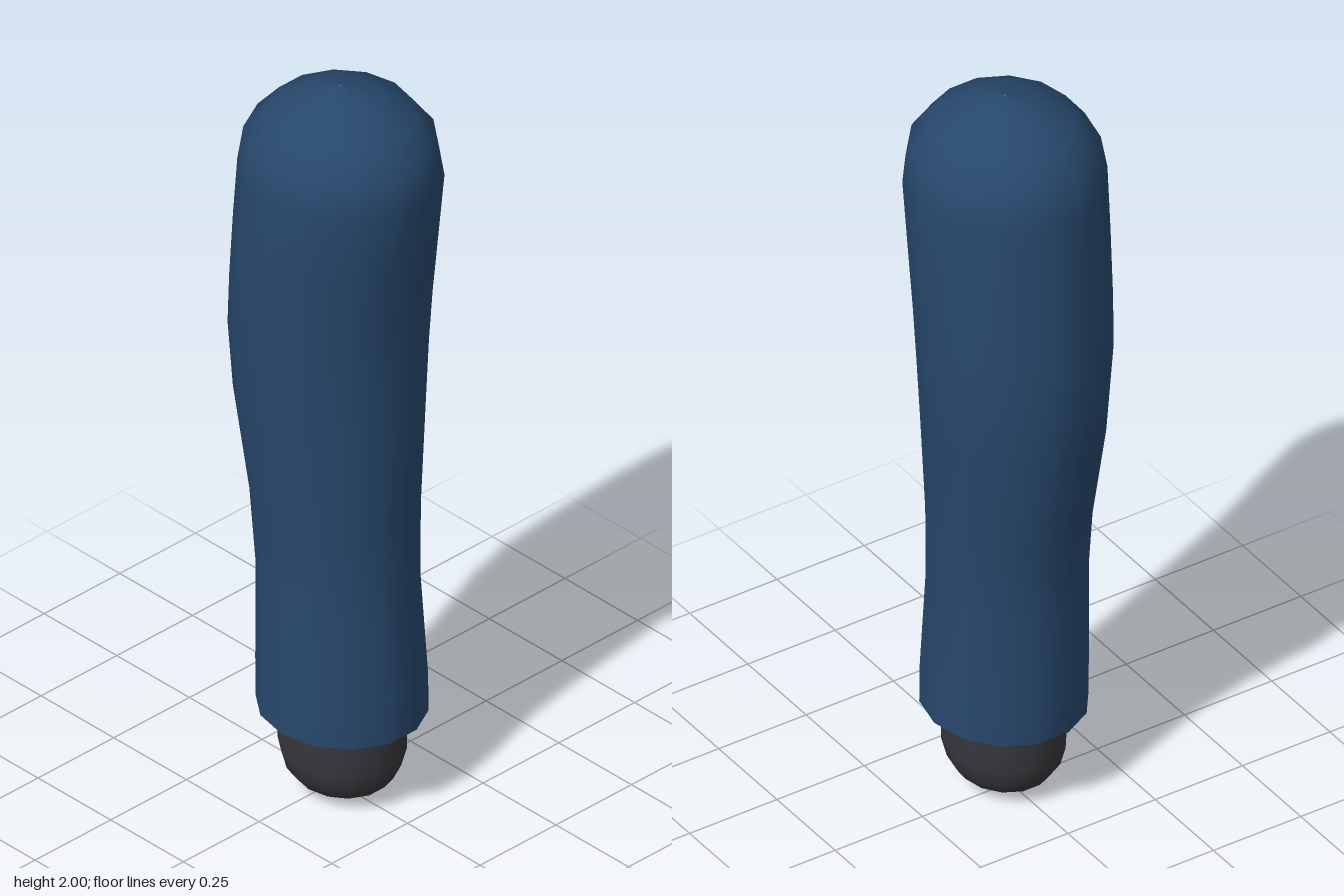
import * as THREE from 'three';

const SIDES = 14;

// Lofts oval rings [y, half width, back z, front z] into a smooth skin, lowest ring first.
function loft(rings, material, name) {
  const flat = Math.cos(Math.PI / SIDES); // front and back are flat facets
  const pos = [], index = [];
  for (const [y, rx, z0, z1] of rings) {
    for (let i = 0; i < SIDES; i++) {
      const a = (i / SIDES) * Math.PI * 2;
      pos.push(Math.cos(a) * rx, y, (z0 + z1) / 2 + (Math.sin(a) * (z1 - z0)) / 2 / flat);
    }
  }
  for (let r = 0; r < rings.length - 1; r++) {
    for (let i = 0; i < SIDES; i++) {
      const a = r * SIDES + i, b = r * SIDES + ((i + 1) % SIDES);
      index.push(a, a + SIDES, b, b, a + SIDES, b + SIDES);
    }
  }
  const geometry = new THREE.BufferGeometry();
  geometry.setAttribute('position', new THREE.Float32BufferAttribute(pos, 3));
  geometry.setIndex(index);
  geometry.computeVertexNormals();
  const mesh = new THREE.Mesh(geometry, material);
  mesh.name = name;
  return mesh;
}

export function createModel() {
  const blue = new THREE.MeshStandardMaterial({ color: 0x27486c });
  blue.name = 'navy blue';
  const black = new THREE.MeshStandardMaterial({ color: 0x38373c });
  black.name = 'charcoal';

  const model = new THREE.Group();
  model.name = 'handle';

  // Curved grip with a rounded top
  model.add(loft([
    [0.24, 0.2, -0.185, 0.235],
    [0.35, 0.2, -0.185, 0.232],
    [0.62, 0.195, -0.185, 0.207],
    [0.82, 0.2, -0.205, 0.207],
    [1.1, 0.222, -0.253, 0.215],
    [1.28, 0.234, -0.265, 0.22],
    [1.42, 0.238, -0.257, 0.23],
    [1.6, 0.242, -0.242, 0.249],
    [1.77, 0.245, -0.225, 0.267],
    [1.86, 0.228, -0.213, 0.255],
    [1.93, 0.175, -0.153, 0.2],
    [1.98, 0.09, -0.068, 0.115],
    [2.0, 0.001, 0.019, 0.021],
  ], blue, 'grip'));

  // Flat underside of the grip
  model.add(loft([
    [0.24, 0.001, 0.024, 0.026],
    [0.24, 0.2, -0.185, 0.235],
  ], blue, 'gripBase'));

  // Domed knob protruding from the base
  const knob = [[0, 0.001], [0.012, 0.07], [0.04, 0.11], [0.075, 0.134], [0.125, 0.147], [0.26, 0.147]];
  model.add(loft(
    knob.map(([y, r]) => [y, r, 0.025 - r * 1.08, 0.025 + r * 1.08]),
    black, 'knob'));

  return model;
}
